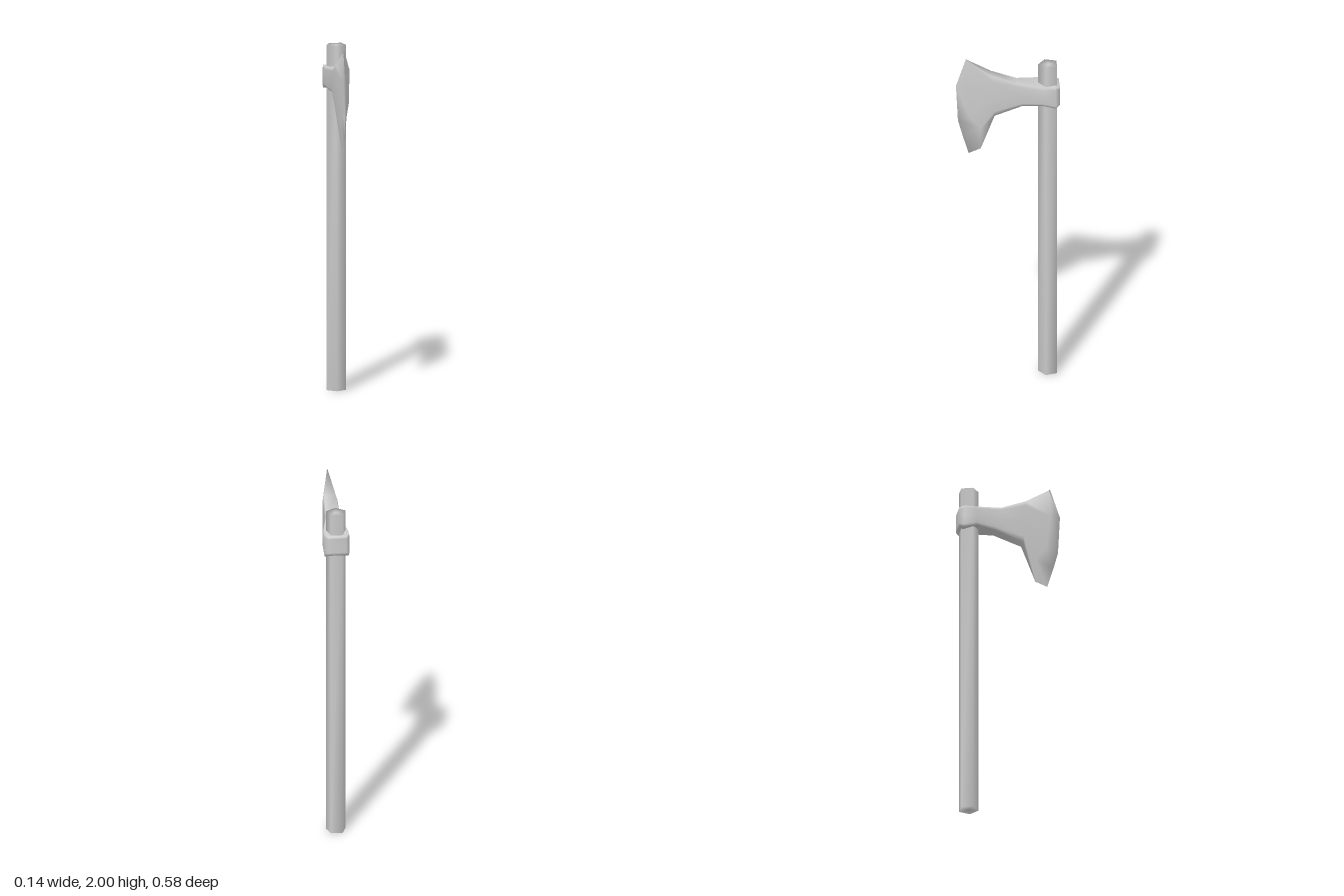
import * as THREE from 'three';
import { mergeVertices } from 'three/addons/utils/BufferGeometryUtils.js';

const material = new THREE.MeshStandardMaterial({ color: 0xcccccc });

// Weld all corners so the shading runs smoothly over every edge.
function smooth(geometry) {
  geometry.deleteAttribute('normal');
  geometry.deleteAttribute('uv');
  const welded = mergeVertices(geometry, 1e-5);
  welded.computeVertexNormals();
  return welded;
}

// Straight section of five rows from top to bottom, slightly narrower at both ends.
function section(topZ, topY, bottomZ, bottomY, halfWidth, edge = 0.85) {
  return [0, 0.12, 0.5, 0.88, 1].map((t) => [
    THREE.MathUtils.lerp(topZ, bottomZ, t),
    THREE.MathUtils.lerp(topY, bottomY, t),
    halfWidth * (t === 0 || t === 1 ? edge : 1),
  ]);
}

// Skin a list of mirrored sections, each row being [z, y, halfWidth].
function loft(sections) {
  const rows = sections[0].length;
  const n = rows * 2;
  const positions = [];
  const index = [];
  for (const s of sections) {
    for (const [z, y, w] of s) positions.push(w, y, z);
    for (const [z, y, w] of [...s].reverse()) positions.push(-w, y, z);
  }
  for (let s = 0; s < sections.length - 1; s++) {
    for (let j = 0; j < n; j++) {
      const a = s * n + j;
      const b = s * n + ((j + 1) % n);
      index.push(a, a + n, b, a + n, b + n, b);
    }
  }
  // Back cap
  for (let j = 0; j < rows - 1; j++) {
    index.push(j, j + 1, n - 2 - j, j, n - 2 - j, n - 1 - j);
  }
  const geometry = new THREE.BufferGeometry();
  geometry.setAttribute('position', new THREE.Float32BufferAttribute(positions, 3));
  geometry.setIndex(index);
  return smooth(geometry);
}

export function createModel() {
  const group = new THREE.Group();
  group.name = 'axe';

  // Five-sided shaft with one corner towards the blade
  const handle = new THREE.Mesh(smooth(new THREE.CylinderGeometry(0.057, 0.057, 1.95, 5)), material);
  handle.name = 'handle';
  handle.position.set(0, 0.975, -0.227);
  group.add(handle);

  // Collar, neck and flaring blade in one skin, from back to cutting edge
  const head = new THREE.Mesh(loft([
    section(-0.288, 1.825, -0.288, 1.715, 0.051, 1),
    section(-0.26, 1.832, -0.265, 1.70, 0.071, 0.95),
    section(-0.195, 1.832, -0.19, 1.72, 0.071, 0.9),
    section(-0.05, 1.848, -0.08, 1.708, 0.042),
    section(0.09, 1.90, 0.075, 1.65, 0.042, 0.8),
    // Start of the bevel
    [[0.225, 1.99, 0.004], [0.235, 1.83, 0.008], [0.21, 1.63, 0.011], [0.15, 1.56, 0.013], [0.15, 1.43, 0.005]],
    // Cutting edge
    [[0.232, 2, 0], [0.288, 1.83, 0], [0.277, 1.61, 0], [0.25, 1.51, 0], [0.217, 1.4, 0]],
  ]), material);
  head.name = 'axeHead';
  group.add(head);

  return group;
}
